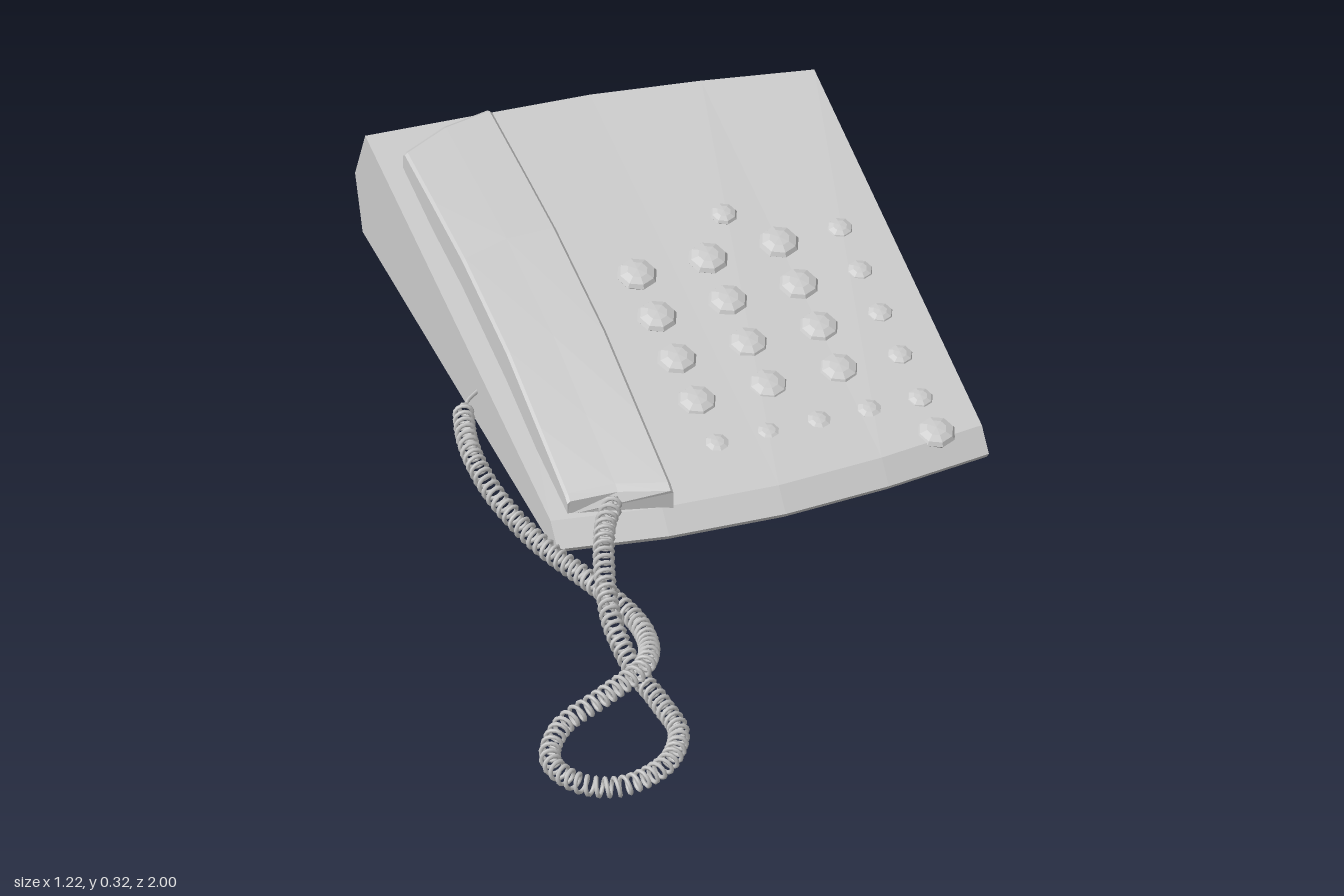
import * as THREE from 'three';

const flat = new THREE.MeshStandardMaterial({ color: 0xcccccc, flatShading: true });
const smooth = new THREE.MeshStandardMaterial({ color: 0xcccccc });

// Height and tilt of the sloping keypad surface
const SLOPE = 0.2;
const deckY = (z) => 0.08 + (0.16 - z) * SLOPE;

// Skin closed rings (clockwise seen from the end they advance to) and cap both ends
function loft(rings) {
  const pos = [];
  const tri = (a, b, c) => pos.push(...a, ...b, ...c);
  const n = rings[0].length;
  for (let i = 0; i < rings.length - 1; i++) {
    for (let j = 0; j < n; j++) {
      const k = (j + 1) % n;
      const a = rings[i][j], b = rings[i][k], c = rings[i + 1][k], d = rings[i + 1][j];
      tri(a, d, c);
      tri(a, c, b);
    }
  }
  const first = rings[0], last = rings[rings.length - 1];
  for (let j = 1; j < n - 1; j++) {
    tri(first[0], first[j], first[j + 1]);
    tri(last[0], last[j + 1], last[j]);
  }
  const g = new THREE.BufferGeometry();
  g.setAttribute('position', new THREE.Float32BufferAttribute(pos, 3));
  g.computeVertexNormals();
  return g;
}

// Bowed front and back outline: x, front z, back z
const outline = [
  [-0.33, 0.2, -1], [-0.1, 0.237, -0.986], [0.15, 0.25, -0.97],
  [0.38, 0.236, -0.935], [0.61, 0.205, -0.89],
];

function mesh(name, geometry, material = flat) {
  const m = new THREE.Mesh(geometry, material);
  m.name = name;
  return m;
}

function makeBody() {
  return loft(outline.map(([x, f, b]) => [
    [x, 0.02, f - 0.012], [x, 0.036, f], [x, 0.08, f - 0.042],
    [x, 0.28, b + 0.06], [x, 0.14, b], [x, 0.02, b + 0.045],
  ]));
}

// Shallow strip under the body that follows its bowed edge
function makeFoot(zRange) {
  return loft(outline.map(([x, f, b]) => {
    const px = THREE.MathUtils.clamp(x, -0.3, 0.59);
    const [z1, z0] = zRange(f, b);
    return [[px, 0.008, z1], [px, 0.024, z1], [px, 0.024, z0], [px, 0.008, z0]];
  }));
}

// Arched handset: skewed ends, gap under the grip
function makeHandset() {
  const cols = [ // x, back z, front z, drop of top edge
    [-0.29, -0.825, 0.15, 0.01], [-0.185, -0.868, 0.163, 0.002], [-0.077, -0.887, 0.2, 0],
  ];
  const stations = [ // position along length, top height, gap above deck
    [0, 0.318, -0.006], [0.012, 0.326, -0.006], [0.18, 0.314, -0.004], [0.36, 0.299, 0.011],
    [0.63, 0.249, 0.011], [0.82, 0.186, -0.004], [0.985, 0.132, -0.004], [1, 0.122, -0.004],
  ];
  return loft(stations.map(([t, top, gap]) => {
    const z = cols.map((c) => THREE.MathUtils.lerp(c[1], c[2], t));
    const [l, m, r] = cols;
    return [
      [l[0], deckY(z[0]) + gap, z[0]],
      [l[0], top - l[3] - 0.006, z[0]],
      [l[0] + 0.006, top - l[3], z[0]],
      [m[0], top - m[3], z[1]],
      [r[0] - 0.006, top, z[2]],
      [r[0], top - 0.006, z[2]],
      [r[0], deckY(z[2]) + gap, z[2]],
      [m[0], deckY(z[1]) + gap, z[1]],
    ];
  }));
}

// Low-poly domed key, lying on the sloping deck
function makeKey(name, x, z, r) {
  const key = mesh(name, new THREE.SphereGeometry(r, 8, 6));
  key.scale.y = 0.4;
  key.rotation.x = Math.atan(SLOPE);
  key.position.set(x, deckY(z), z);
  return key;
}

// Coiled cord: a helix wound round a looping path, straightening at both ends
class CoilCurve extends THREE.Curve {
  constructor(path, turns, radius) {
    super();
    Object.assign(this, { path, turns, radius });
  }
  getPoint(t, target = new THREE.Vector3()) {
    const p = this.path.getPointAt(t);
    const tan = this.path.getTangentAt(t);
    const side = new THREE.Vector3(tan.z, 0, -tan.x).normalize();
    const up = new THREE.Vector3().crossVectors(tan, side);
    const s = THREE.MathUtils.smoothstep;
    const r = this.radius * s(t, 0.02, 0.035) * (1 - s(t, 0.975, 0.99));
    const a = t * this.turns * Math.PI * 2;
    return target.copy(p).addScaledVector(side, r * Math.cos(a)).addScaledVector(up, r * Math.sin(a));
  }
}

function makeCord() {
  const points = [
    [-0.32, 0.1, -0.285], [-0.365, 0.095, -0.25], [-0.405, 0.09, -0.12], [-0.405, 0.075, 0.03],
    [-0.365, 0.05, 0.18], [-0.305, 0.036, 0.32], [-0.268, 0.036, 0.44], [-0.265, 0.045, 0.55],
    [-0.31, 0.066, 0.66], [-0.42, 0.058, 0.72], [-0.53, 0.04, 0.765], [-0.585, 0.03, 0.85],
    [-0.555, 0.026, 0.935], [-0.48, 0.025, 0.974], [-0.37, 0.025, 0.94], [-0.305, 0.025, 0.85],
    [-0.305, 0.026, 0.75], [-0.32, 0.032, 0.62], [-0.32, 0.058, 0.5], [-0.29, 0.085, 0.37],
    [-0.24, 0.108, 0.24], [-0.2, 0.115, 0.185], [-0.18, 0.1, 0.15],
  ].map((p) => new THREE.Vector3(...p));
  const path = new THREE.CatmullRomCurve3(points, false, 'centripetal');
  path.arcLengthDivisions = 600;
  const turns = 125;
  const coil = new CoilCurve(path, turns, 0.019);
  coil.arcLengthDivisions = 4000;
  return new THREE.TubeGeometry(coil, turns * 12, 0.0048, 5, false);
}

export function createModel() {
  const model = new THREE.Group();
  model.name = 'deskTelephone';

  model.add(mesh('body', makeBody()));
  model.add(mesh('frontFoot', makeFoot((f) => [f - 0.04, f - 0.11])));
  model.add(mesh('backFoot', makeFoot((f, b) => [b + 0.13, b + 0.06])));
  model.add(mesh('handset', makeHandset()));
  model.add(mesh('coiledCord', makeCord(), smooth));

  // Number pad with a column of small keys beside it
  const keys = new THREE.Group();
  keys.name = 'keys';
  for (const z of [-0.415, -0.297, -0.178, -0.06]) {
    for (const x of [0.07, 0.225, 0.38]) keys.add(makeKey('numberKey', x, z, 0.043));
    keys.add(makeKey('sideKey', 0.513, z, 0.029));
  }
  // Bottom row of function keys, indicator above and large key at the corner
  for (const x of [0.07, 0.182, 0.292, 0.402, 0.513]) keys.add(makeKey('functionKey', x, 0.06, 0.029));
  keys.add(makeKey('indicator', 0.297, -0.518, 0.029));
  keys.add(makeKey('cornerKey', 0.513, 0.155, 0.042));
  model.add(keys);

  return model;
}
